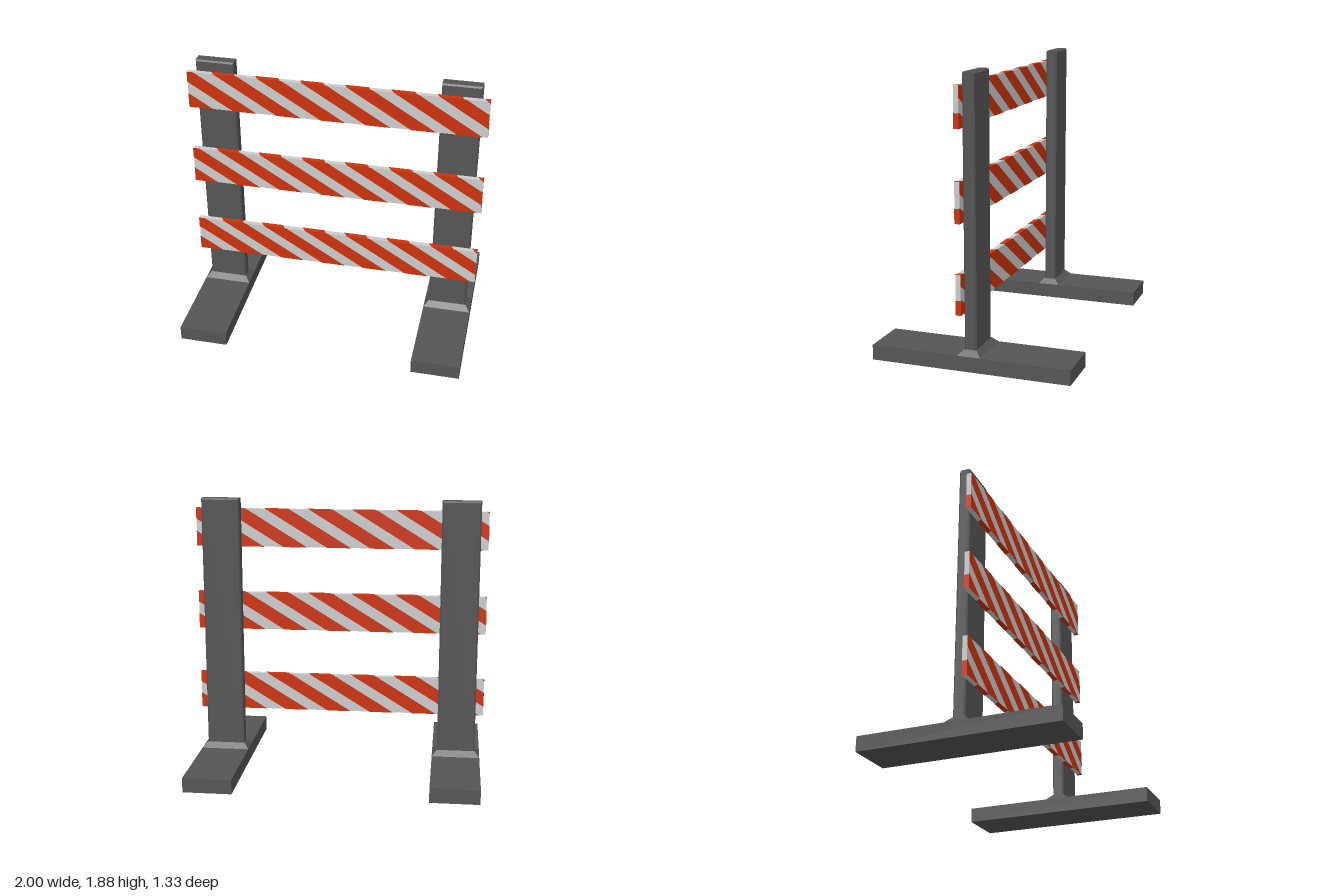
import * as THREE from 'three';

const dark = new THREE.MeshStandardMaterial({ name: 'dark grey plastic', color: 0x555555 });
const white = new THREE.MeshStandardMaterial({ name: 'pale grey board', color: 0xcccccc });
const red = new THREE.MeshStandardMaterial({ name: 'orange red stripe', color: 0xcc330d });

const BOARD_H = 0.262, BOARD_T = 0.036, SKIN = 0.0015, PITCH = 0.3;

function part(name, geometry, material) {
  const mesh = new THREE.Mesh(geometry, material);
  mesh.name = name;
  return mesh;
}

// Cut a polygon at the vertical line x = limit, keeping the side given by sign
function clip(points, limit, sign) {
  const out = [];
  points.forEach((a, i) => {
    const b = points[(i + 1) % points.length];
    const da = sign * (limit - a.x), db = sign * (limit - b.x);
    if (da >= 0) out.push(a);
    if (da * db < 0) out.push(a.clone().lerp(b, da / (da - db)));
  });
  return out;
}

// Row of slanted stripes: start is the top left corner of the first one
function stripes(start, width, slant, height) {
  const shapes = [];
  for (let x = start; x < 1; x += PITCH) {
    const h = height / 2;
    let p = [[x, h], [x + slant, -h], [x + slant + width, -h], [x + width, h]]
      .map(([px, py]) => new THREE.Vector2(px, py));
    p = clip(clip(p, 1, 1), -1, -1);
    if (p.length > 2) shapes.push(new THREE.Shape(p));
  }
  return new THREE.ShapeGeometry(shapes);
}

// Striped board: pale core with thin red faces on all sides
function createBoard() {
  const board = new THREE.Group();
  const s = 2 * SKIN;
  board.add(part('boardCore', new THREE.BoxGeometry(2 - s, BOARD_H - s, BOARD_T - s), white));

  const face = stripes(-1.42, 0.165, 0.425, BOARD_H);
  const front = part('frontStripes', face, red);
  front.position.z = BOARD_T / 2;
  const back = part('backStripes', face, red);
  back.position.z = -BOARD_T / 2;
  back.rotation.y = Math.PI;

  const edge = stripes(-0.84, 0.155, 0.02, BOARD_T);
  const top = part('topStripes', edge, red);
  top.position.y = BOARD_H / 2;
  top.rotation.x = -Math.PI / 2;
  const bottom = part('bottomStripes', edge, red);
  bottom.position.y = -BOARD_H / 2;
  bottom.rotation.x = Math.PI / 2;
  board.add(front, back, top, bottom);

  for (const side of [-1, 1]) {
    const end = part(side > 0 ? 'leftEndStripe' : 'rightEndStripe', new THREE.PlaneGeometry(BOARD_T, 0.095), red);
    end.position.set(side, -BOARD_H / 2 + 0.0475, 0);
    end.rotation.y = side * Math.PI / 2;
    board.add(end);
  }
  return board;
}

// Chamfered upright
function createPost() {
  const w = 0.26, y0 = 0.1, y1 = 1.875, d = 0.08, b = 0.01;
  const x = w / 2 - b;
  const shape = new THREE.Shape([
    new THREE.Vector2(-x, y0 + b), new THREE.Vector2(x, y0 + b),
    new THREE.Vector2(x, y1 - b), new THREE.Vector2(-x, y1 - b),
  ]);
  const geometry = new THREE.ExtrudeGeometry(shape, {
    depth: d - 2 * b, bevelThickness: b, bevelSize: b, bevelSegments: 1,
  });
  geometry.translate(0, 0, -d / 2 + b);
  return part('post', geometry, dark);
}

// Sloped collar where the post meets the foot
function createCollar() {
  const geometry = new THREE.BoxGeometry(0.33, 0.036, 0.156).toNonIndexed();
  const p = geometry.attributes.position;
  for (let i = 0; i < p.count; i++) {
    if (p.getY(i) > 0) {
      p.setX(i, Math.sign(p.getX(i)) * 0.132);
      p.setZ(i, Math.sign(p.getZ(i)) * 0.042);
    }
  }
  geometry.computeVertexNormals();
  const collar = part('collar', geometry, dark);
  collar.position.y = 0.118;
  return collar;
}

export function createModel() {
  const model = new THREE.Group();
  model.name = 'barricade';

  // Pair of stands
  for (const side of [-1, 1]) {
    const stand = new THREE.Group();
    stand.name = side > 0 ? 'leftStand' : 'rightStand';
    const foot = part('foot', new THREE.BoxGeometry(0.33, 0.1, 1.33), dark);
    foot.position.y = 0.05;
    stand.add(foot, createCollar(), createPost());
    stand.position.x = side * 0.815;
    model.add(stand);
  }

  // Three boards fixed to the front of the posts
  ['lowerBoard', 'middleBoard', 'upperBoard'].forEach((name, i) => {
    const board = createBoard();
    board.name = name;
    board.position.set(0, 0.503 + i * 0.5825, 0.04 + BOARD_T / 2 - SKIN);
    model.add(board);
  });
  return model;
}
